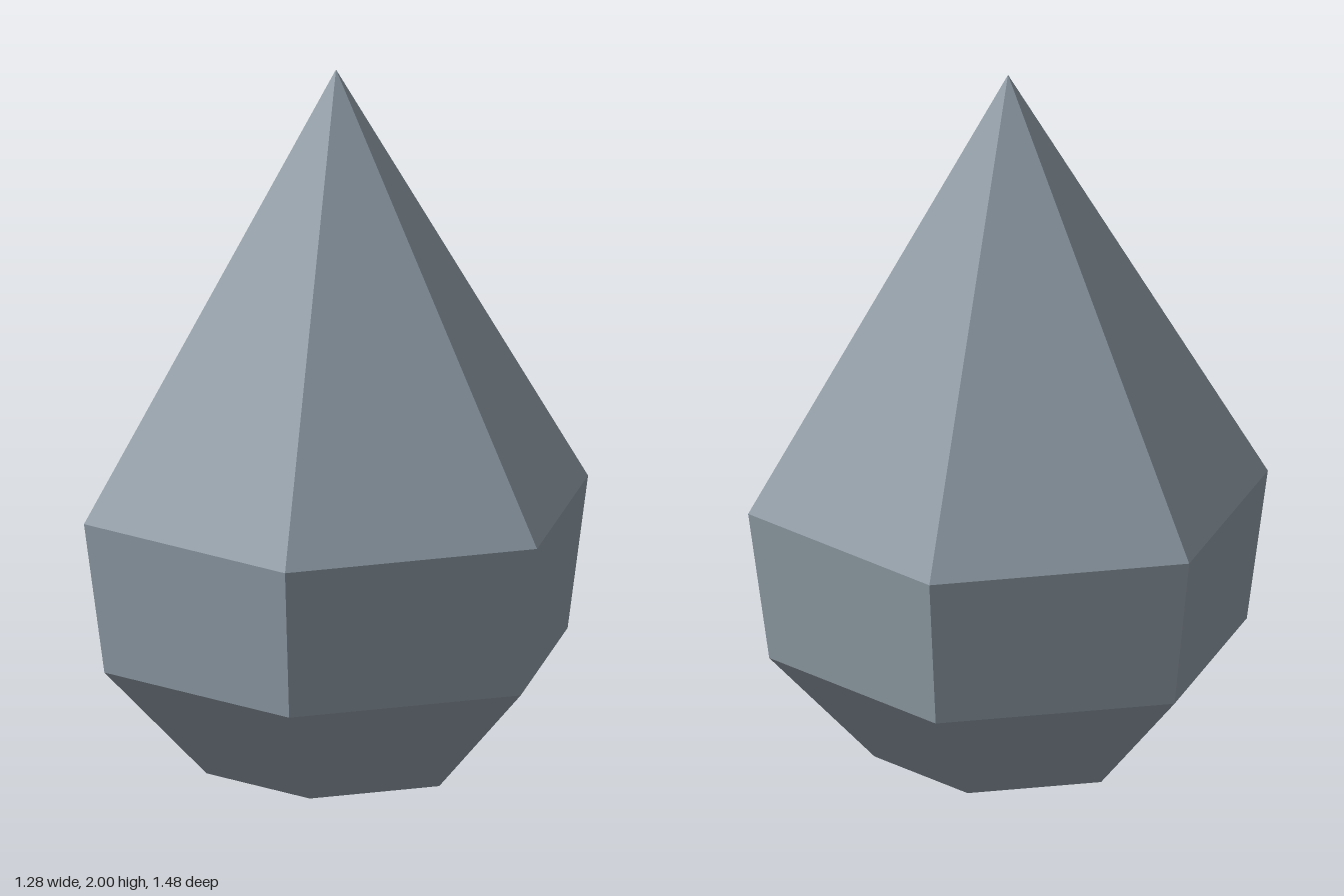
import * as THREE from 'three';

export function createModel() {
  const group = new THREE.Group();
  group.name = 'crystal';

  const stone = new THREE.MeshStandardMaterial({ color: 0x8e9aa4, flatShading: true });
  stone.name = 'blue grey stone';

  // Six-sided gem: flat base, flared pavilion, steep girdle, tall point
  const profile = [[0, 0], [0.38, 0], [0.68, 0.32], [0.74, 0.755], [0, 2]]
    .map(([r, y]) => new THREE.Vector2(r, y));
  const gem = new THREE.Mesh(new THREE.LatheGeometry(profile, 6), stone);
  gem.name = 'gem';
  group.add(gem);

  return group;
}
